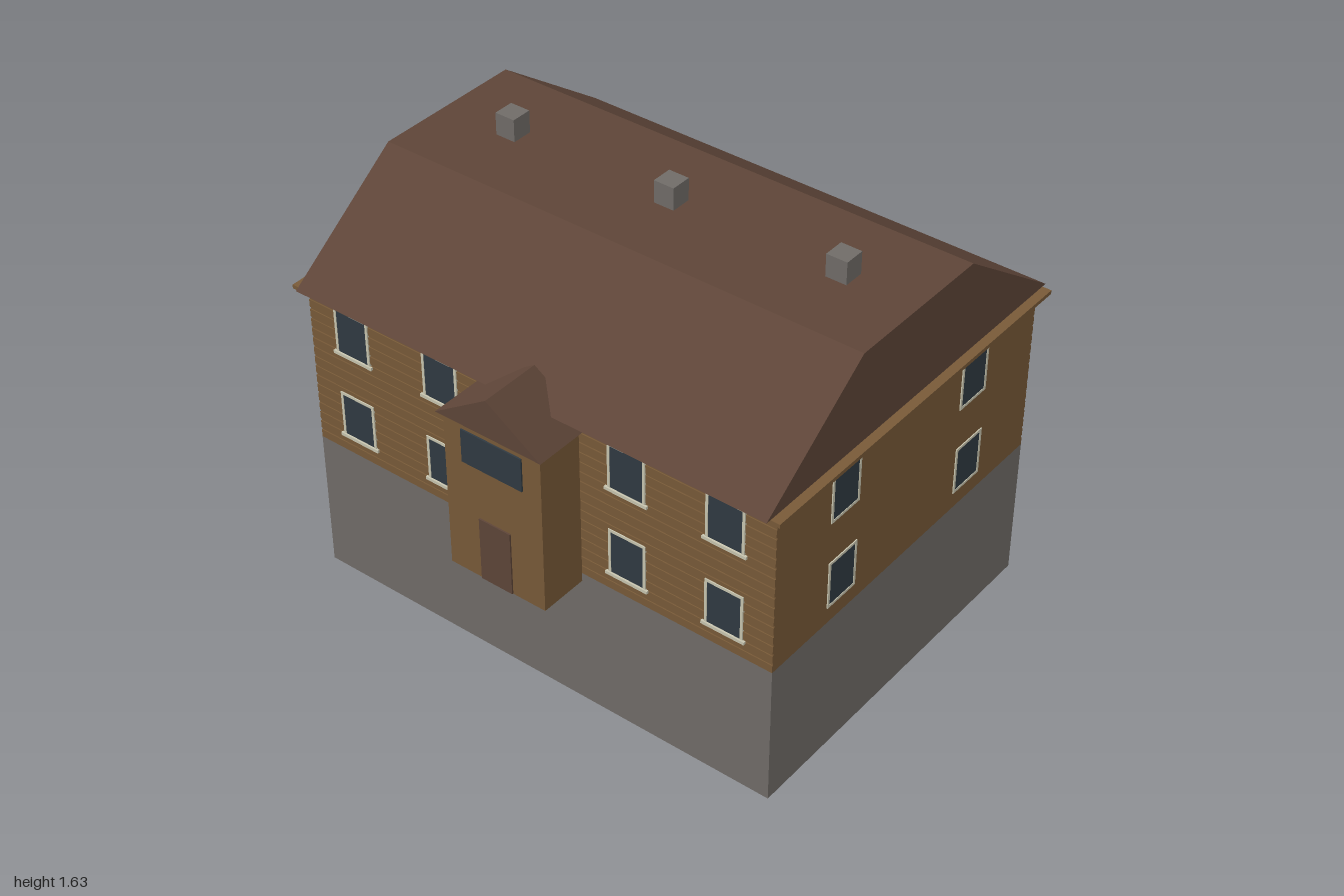
import * as THREE from 'three';

const material = (name, color) => {
  const m = new THREE.MeshStandardMaterial({ color });
  m.name = name;
  return m;
};

export function createModel() {
  const house = new THREE.Group();
  house.name = 'house';
  const stone = material('stone grey', 0x706c68);
  const wood = material('wood brown', 0x785a38);
  const roofing = material('roof brown', 0x5e4538);
  const glass = material('dark glass', 0x303a42);
  const trim = material('cream trim', 0xc8c5b0);

  // Box given by its minimum and maximum on each axis
  const box = (name, mat, x0, x1, y0, y1, z0, z1, parent = house) => {
    const mesh = new THREE.Mesh(new THREE.BoxGeometry(x1 - x0, y1 - y0, z1 - z0), mat);
    mesh.position.set((x0 + x1) / 2, (y0 + y1) / 2, (z0 + z1) / 2);
    mesh.name = name;
    parent.add(mesh);
    return mesh;
  };

  // Solid prism from a 2D outline, extruded from z = 0
  const prism = (name, points, depth) => {
    const shape = new THREE.Shape(points.map(([x, y]) => new THREE.Vector2(x, y)));
    const geo = new THREE.ExtrudeGeometry(shape, { depth, bevelEnabled: false });
    const mesh = new THREE.Mesh(geo, roofing);
    mesh.name = name;
    house.add(mesh);
    return mesh;
  };

  const L = -0.685, R = 0.77, Z = 0.965;

  // Foundation and walls
  box('foundation', stone, L, R, 0, 0.555, -Z, Z);
  box('walls', wood, L + 0.004, R - 0.004, 0.555, 1.19, -Z, Z);

  // Horizontal siding boards on both long walls
  const boards = 16, pitch = 0.63 / boards;
  for (const [side, x0, x1] of [['left', R - 0.005, R], ['right', L, L + 0.005]]) {
    const siding = new THREE.Group();
    siding.name = `${side}Siding`;
    house.add(siding);
    for (let i = 0; i < boards; i++) {
      const y = 0.555 + i * pitch;
      box('sidingBoard', wood, x0, x1, y, y + pitch - 0.009, -Z, Z, siding);
    }
  }

  // Eave board and main roof with sloping long sides
  box('eaveBoard', wood, -0.72, 0.805, 1.185, 1.2, -1, 1);
  prism('mainRoof', [[-0.74, 1.2], [0.825, 1.2], [0.34, 1.545], [-0.26, 1.545]], 1.93).position.z = -Z;

  // Chimneys along the flat ridge
  for (const z of [-0.67, 0.003, 0.68]) box('chimney', stone, -0.003, 0.077, 1.53, 1.63, z - 0.04, z + 0.04);

  // Framed opening in the local xy plane, facing +z
  const framed = (name, w, h, fill, open = false) => {
    const g = new THREE.Group();
    const t = 0.01, d = 0.004;
    g.name = name;
    box('panel', fill, -w / 2 + t, w / 2 - t, open ? 0 : t, h - t, -0.004, 0.002, g);
    box('frameSide', trim, -w / 2, -w / 2 + t, 0, h, -0.004, d, g);
    box('frameSide', trim, w / 2 - t, w / 2, 0, h, -0.004, d, g);
    box('frameTop', trim, -w / 2 + t, w / 2 - t, h - t, h, -0.004, d, g);
    if (!open) box('frameBottom', trim, -w / 2 + t, w / 2 - t, 0, t, -0.004, d, g);
    house.add(g);
    return g;
  };

  // Two storeys of windows on all four walls
  for (const y of [0.62, 0.97]) {
    for (const x of [-0.32, 0.405]) {
      framed('frontWindow', 0.152, 0.187, glass).position.set(x, y, Z);
      const back = framed('backWindow', 0.152, 0.187, glass);
      back.position.set(x, y, -Z);
      back.rotation.y = Math.PI;
    }
    for (const z of [-0.775, -0.385, 0.39, 0.775]) {
      const left = framed('leftWindow', 0.15, 0.187, glass);
      left.position.set(R, y, z);
      left.rotation.y = Math.PI / 2;
      const right = framed('rightWindow', 0.15, 0.187, glass);
      right.position.set(L, y, z);
      right.rotation.y = -Math.PI / 2;
      // Projecting sill
      box('sill', trim, -0.085, 0.085, -0.002, 0.01, 0, 0.009, right);
    }
  }

  // Side door and its step
  const door = framed('sideDoor', 0.146, 0.23, roofing, true);
  door.position.set(R, 0.555, 0.002);
  door.rotation.y = Math.PI / 2;
  box('doorStep', stone, R, 0.885, 0.483, 0.532, -0.12, 0.12);

  // Projecting porch with gable roof, door and wide window
  box('porch', wood, -0.872, L, 0.522, 1.146, -0.2, 0.2);
  const porchRoof = prism('porchRoof', [[-0.217, 1.146], [0.217, 1.146], [0, 1.29]], 0.235);
  porchRoof.rotation.y = -Math.PI / 2;
  porchRoof.position.x = -0.655;
  box('porchDoor', roofing, -0.878, -0.87, 0.524, 0.775, -0.065, 0.065);
  box('porchWindow', glass, -0.878, -0.87, 0.982, 1.112, -0.125, 0.125);

  return house;
}
